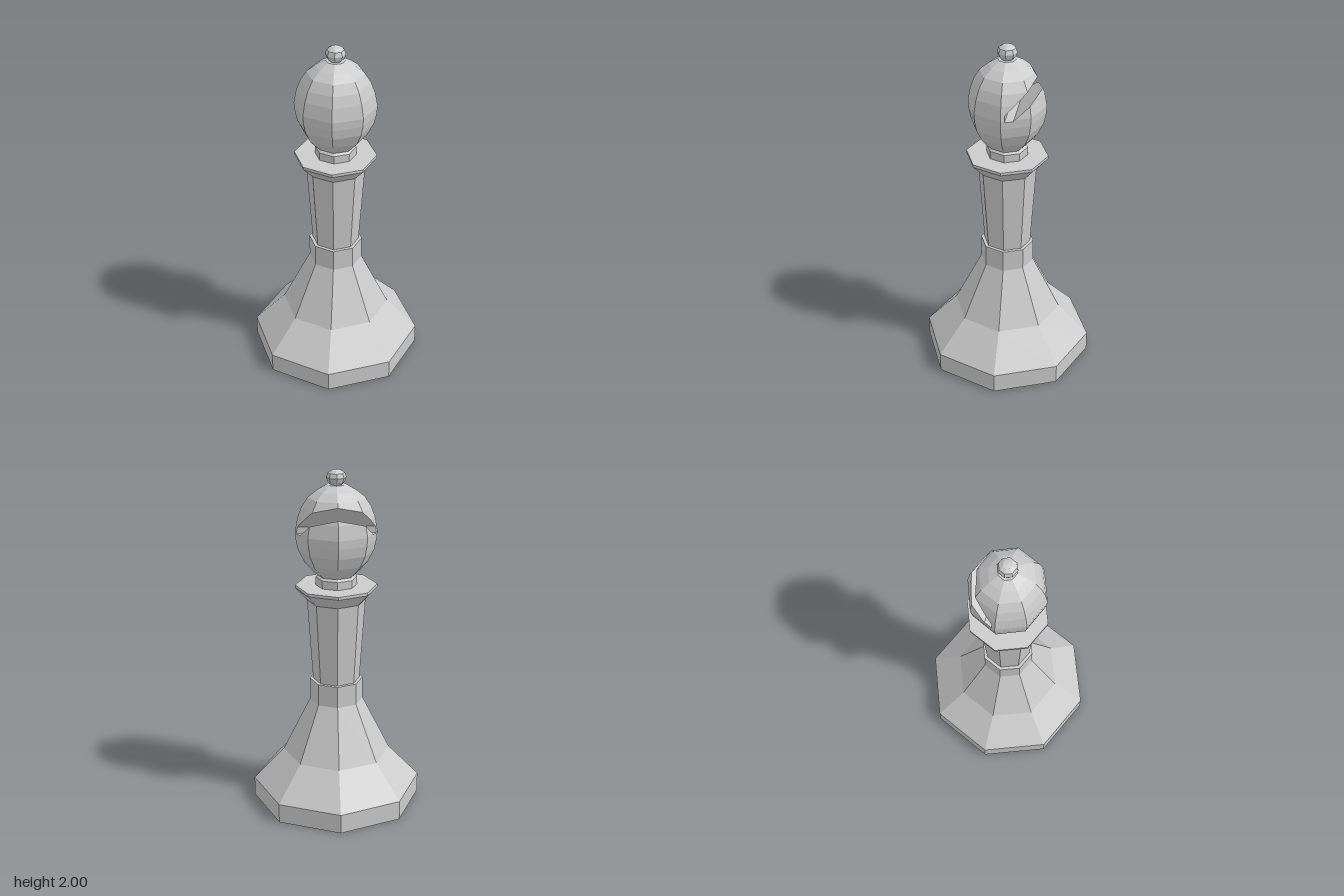
import * as THREE from 'three';

const SIDES = 8;
const HEAD_DEPTH = 0.955;
const material = new THREE.MeshStandardMaterial({ color: 0xcccccc, flatShading: true });

// Eight-sided turned part from [radius, height] points, bottom to top
function turned(name, profile) {
  const points = profile.map(([r, y]) => new THREE.Vector2(r, y));
  const mesh = new THREE.Mesh(new THREE.LatheGeometry(points, SIDES), material);
  mesh.name = name;
  return mesh;
}

// Part of a polygon on the positive side of a plane
function clip(poly, plane) {
  const out = [];
  poly.forEach((a, i) => {
    const b = poly[(i + 1) % poly.length];
    const da = plane.distanceToPoint(a), db = plane.distanceToPoint(b);
    if (da >= 0) out.push(a);
    if (da * db < 0) out.push(a.clone().lerp(b, da / (da - db)));
  });
  return out;
}

const planeOf = (p) => new THREE.Plane().setFromCoplanarPoints(p[0], p[1], p[2]);
const flipped = (plane) => plane.clone().negate();

// Convex head with a slanted slot cut across its back
function slottedHead() {
  const profile = [
    [0.11, 1.395], [0.145, 1.43], [0.18, 1.47], [0.215, 1.54], [0.228, 1.6], [0.232, 1.65],
    [0.217, 1.73], [0.195, 1.79], [0.16, 1.845], [0.11, 1.885], [0.055, 1.917],
  ];
  const rings = profile.map(([r, y]) => Array.from({ length: SIDES }, (_, i) => {
    const a = (i / SIDES) * Math.PI * 2;
    return new THREE.Vector3(r * Math.sin(a), y, r * Math.cos(a) * HEAD_DEPTH);
  }));
  const faces = [[...rings[0]].reverse(), rings[rings.length - 1]];
  for (let j = 0; j < rings.length - 1; j++) {
    for (let i = 0; i < SIDES; i++) {
      const k = (i + 1) % SIDES;
      faces.push([rings[j][i], rings[j][k], rings[j + 1][k], rings[j + 1][i]]);
    }
  }

  // Slot outline as [z, y], open towards the back; walls face into the slot
  const slot = [[-0.32, 1.97], [-0.02, 1.68], [-0.02, 1.642], [-0.065, 1.642], [-0.345, 1.887]];
  const walls = slot.slice(1).map(([z, y], i) => {
    const [z0, y0] = slot[i];
    return [[-0.4, y0, z0], [0.4, y0, z0], [0.4, y, z], [-0.4, y, z]]
      .map((p) => new THREE.Vector3(...p));
  });
  const wallPlanes = walls.map(planeOf);
  const facePlanes = faces.map(planeOf);

  // Outer skin: keep whatever lies outside any slot wall
  const polygons = [];
  for (const face of faces) {
    let rest = face;
    for (const plane of wallPlanes) {
      polygons.push(clip(rest, flipped(plane)));
      rest = clip(rest, plane);
    }
  }
  // Slot walls, trimmed to the inside of the head
  for (const wall of walls) {
    polygons.push(facePlanes.reduce((poly, plane) => clip(poly, flipped(plane)), wall));
  }

  const triangles = [];
  for (const poly of polygons) {
    for (let i = 1; i < poly.length - 1; i++) triangles.push(poly[0], poly[i], poly[i + 1]);
  }
  const geometry = new THREE.BufferGeometry().setFromPoints(triangles);
  geometry.computeVertexNormals();
  const mesh = new THREE.Mesh(geometry, material);
  mesh.name = 'slottedHead';
  return mesh;
}

export function createModel() {
  const model = new THREE.Group();
  model.name = 'chessBishop';
  model.add(
    turned('base', [[0, 0], [0.495, 0], [0.495, 0.115], [0.315, 0.305], [0.155, 0.63], [0.155, 0.76], [0, 0.76]]),
    turned('shaft', [[0.136, 0.76], [0.168, 1.245]]),
    turned('collar', [[0, 1.245], [0.168, 1.245], [0.235, 1.318], [0.235, 1.335], [0, 1.335]]),
    turned('neck', [[0.118, 1.335], [0.118, 1.382], [0.1, 1.4], [0, 1.4]]),
    slottedHead(),
    turned('finial', [[0.03, 1.912], [0.048, 1.932], [0.057, 1.957], [0.048, 1.982], [0.025, 1.997], [0, 2]]),
  );
  return model;
}
